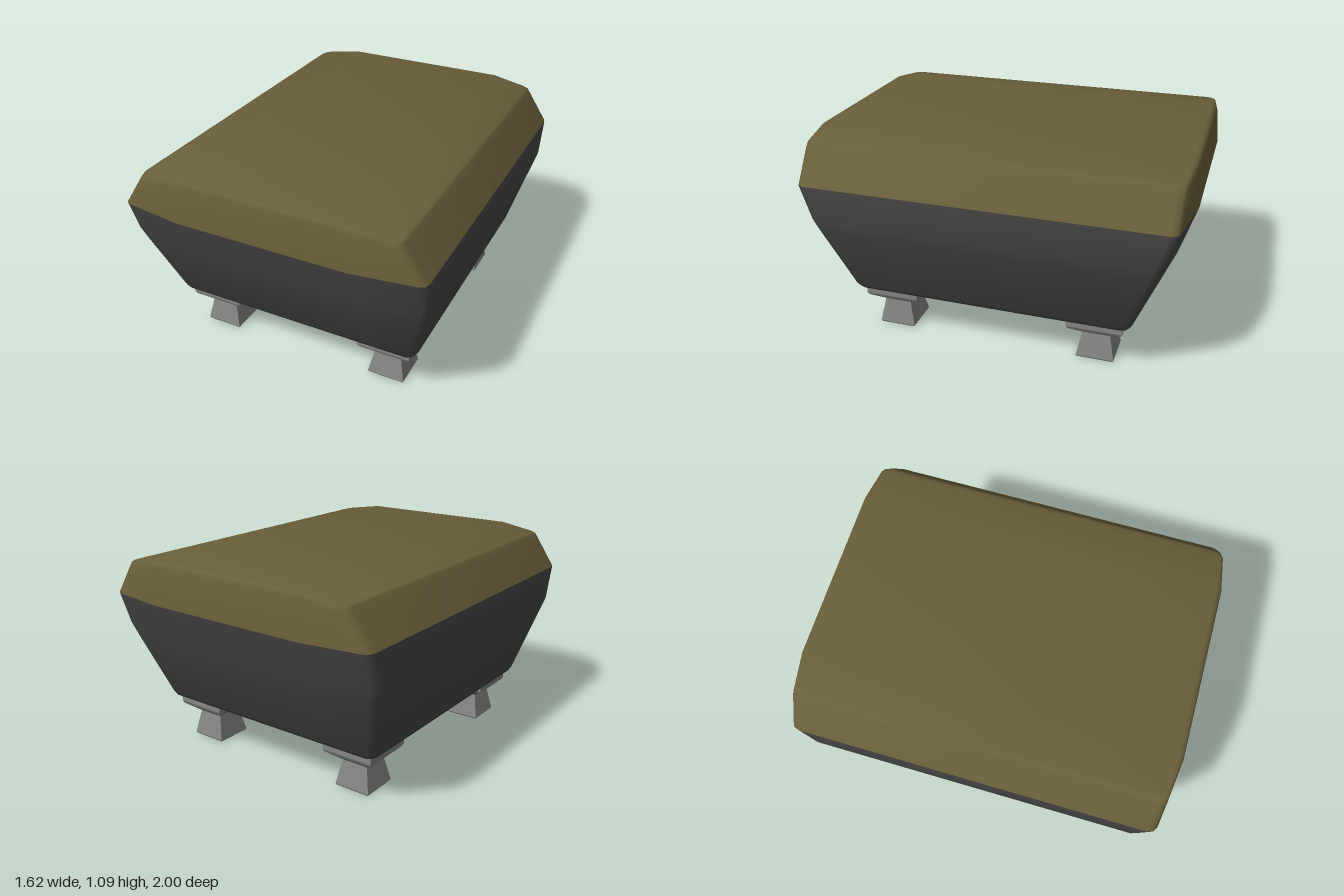
import * as THREE from 'three';
import { toCreasedNormals } from 'three/addons/utils/BufferGeometryUtils.js';

// extra height of the cushion top: flat in the middle, falling to the sides
const lift = (x) => 0.035 * THREE.MathUtils.clamp((0.69 - Math.abs(x)) / 0.23, 0, 1);

// Horizontal outline: half width X, half length Z, bulge of the ends, crowned or flat
function outline({ y, X, Z, bulge, crown = 0 }) {
  const zc = Z - bulge;
  const half = [[X, zc - 0.045], [X - 0.01, zc - 0.014], [X - 0.035, zc], [0.46, Z]];
  const front = [...half, ...half.map(([x, z]) => [-x, z]).reverse()];
  const back = front.map(([x, z]) => [x, -z]).reverse();
  return [...front, ...back].map(([x, z]) => new THREE.Vector3(x, y + crown * lift(x), z));
}

// Skin the stacked outlines; cap is 'top' or 'bottom'
function shell(levels, cap) {
  const rings = levels.map(outline);
  const n = rings[0].length;
  const pos = [];
  const quad = (a, b, c, d) => [a, b, c, a, c, d].forEach((p) => pos.push(p.x, p.y, p.z));
  for (let r = 0; r < rings.length - 1; r++) {
    for (let i = 0; i < n; i++) {
      const j = (i + 1) % n;
      quad(rings[r][j], rings[r][i], rings[r + 1][i], rings[r + 1][j]);
    }
  }
  // cap in strips running from front to back
  const ring = cap === 'top' ? rings[rings.length - 1] : rings[0];
  for (let i = 0; i < n / 2 - 1; i++) {
    const s = [ring[i], ring[n - 1 - i], ring[n - 2 - i], ring[i + 1]];
    if (cap === 'bottom') s.reverse();
    quad(...s);
  }
  const geo = new THREE.BufferGeometry();
  geo.setAttribute('position', new THREE.Float32BufferAttribute(pos, 3));
  return toCreasedNormals(geo, 0.95);
}

export function createModel() {
  const group = new THREE.Group();
  const add = (name, geo, color, flatShading = false) => {
    const mesh = new THREE.Mesh(geo, new THREE.MeshStandardMaterial({ color, flatShading }));
    mesh.name = name;
    group.add(mesh);
    return mesh;
  };

  // tapered lower body
  add('body', shell([
    { y: 0.245, X: 0.65, Z: 0.705, bulge: 0 },
    { y: 0.252, X: 0.675, Z: 0.733, bulge: 0 },
    { y: 0.278, X: 0.692, Z: 0.752, bulge: 0.005 },
    { y: 0.61, X: 0.787, Z: 0.915, bulge: 0.045 },
    { y: 0.69, X: 0.81, Z: 0.942, bulge: 0.045 },
    { y: 0.87, X: 0.81, Z: 1.0, bulge: 0.045 },
  ], 'bottom'), 0x484848);

  // padded top
  add('cushion', shell([
    { y: 0.87, X: 0.81, Z: 1.0, bulge: 0.045 },
    { y: 1.025, X: 0.705, Z: 0.981, bulge: 0.025, crown: 1 },
    { y: 1.048, X: 0.69, Z: 0.972, bulge: 0.02, crown: 1 },
    { y: 1.055, X: 0.685, Z: 0.95, bulge: 0.01, crown: 1 },
  ], 'top'), 0x6a5f3a);

  // square feet with a flared head
  const profile = [[0, 0], [0.095, 0], [0.1, 0.008], [0.073, 0.14], [0.138, 0.19],
    [0.145, 0.205], [0.145, 0.235], [0.138, 0.248], [0, 0.248]]
    .map(([r, y]) => new THREE.Vector2(r * Math.SQRT2, y));
  const foot = new THREE.LatheGeometry(profile, 4, Math.PI / 4);
  for (const x of [-1, 1]) {
    for (const z of [-1, 1]) {
      const name = (z > 0 ? 'front' : 'back') + (x > 0 ? 'Left' : 'Right') + 'Foot';
      add(name, foot, 0x858585, true).position.set(x * 0.5, 0, z * 0.555);
    }
  }
  return group;
}
